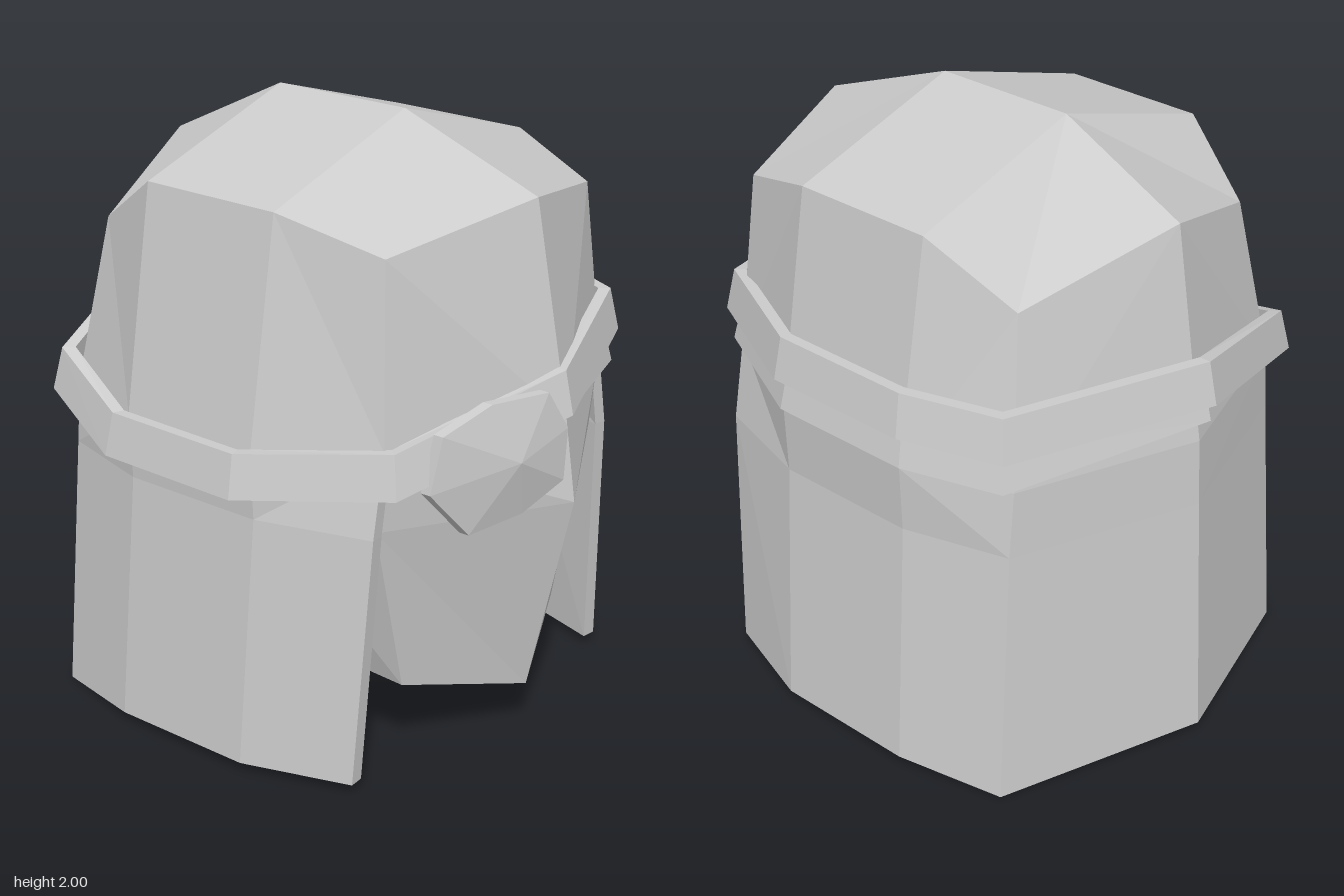
import * as THREE from 'three';

const mat = new THREE.MeshStandardMaterial({ color: 0xcccccc, flatShading: true, side: THREE.DoubleSide });

// Skin a list of point rows (bottom to top); flip swaps the quad diagonal, mirrored at mid row
function skin(name, rows, closed = true, flip = false) {
  const v = [];
  const tri = (a, b, c) => {
    const n = new THREE.Triangle(new THREE.Vector3(...a), new THREE.Vector3(...b), new THREE.Vector3(...c));
    if (n.getArea() > 1e-6) v.push(...a, ...b, ...c);
  };
  for (let i = 0; i < rows.length - 1; i++) {
    const n = rows[i].length, m = closed ? n : n - 1;
    for (let j = 0; j < m; j++) {
      const k = (j + 1) % n;
      const [a, b, c, d] = [rows[i][j], rows[i][k], rows[i + 1][k], rows[i + 1][j]];
      if ((j < m / 2) !== flip) { tri(a, b, c); tri(a, c, d); }
      else { tri(a, b, d); tri(b, c, d); }
    }
  }
  const g = new THREE.BufferGeometry();
  g.setAttribute('position', new THREE.Float32BufferAttribute(v, 3));
  g.computeVertexNormals();
  const mesh = new THREE.Mesh(g, mat);
  mesh.name = name;
  return mesh;
}

// Half ring (front centre, left side, back centre) mirrored to a full ring
const ring = (half) => [...half, ...half.slice(1, -1).reverse().map(([x, y, z]) => [-x, y, z])];

// Hollow strap: plan is the outer lower outline, low the bottom heights
function strap(name, plan, low, height, closed) {
  const row = (s, h) => plan.map(([x, z], i) => [x * s, low[i] + h, z * s]);
  const it = row(0.92, height);
  return skin(name, [it, row(0.93, 0), row(1, 0), row(0.965, height), it], closed);
}

export function createModel() {
  const model = new THREE.Group();
  const body = new THREE.Group();
  body.name = 'headAndHair';
  body.position.x = 0.01;
  model.add(body);

  // Ring where the crown meets the face and the hanging hair
  const brow = ring([[0, 1.13, 0.86], [0.57, 1.13, 0.6], [0.74, 1.08, 0.22],
    [0.74, 1.08, -0.29], [0.61, 1.08, -0.64], [0, 1.08, -0.85]]);

  // Crown with a short ridge on top
  const crown = ring([[0, 1.81, 0.73], [0.52, 1.71, 0.56], [0.62, 1.81, 0.22],
    [0.62, 1.81, -0.29], [0.52, 1.62, -0.57], [0, 1.78, -0.74]]);
  const ridge = crown.map(([, , z]) => [0, 2, z > 0 ? 0.22 : -0.29]);
  body.add(skin('crown', [brow, crown, ridge]));

  // Head with pointed face and jaw, closed underneath
  const jaw = ring([[0, 0.17, 0.74], [0.41, 0.27, 0.55], [0.47, 0.33, 0.2],
    [0.47, 0.4, -0.3], [0.42, 0.43, -0.55], [0, 0.4, -0.75]]);
  const cheek = ring([[0, 0.86, 0.9], [0.57, 0.86, 0.57], [0.67, 0.86, 0.22],
    [0.67, 0.86, -0.29], [0.55, 0.86, -0.6], [0, 0.86, -0.79]]);
  const under = jaw.map(() => [0, 0.31, -0.1]);
  const headTop = brow.map(([x, y, z], i) => (i < 2 || i === 9 ? [x, y, z] : [x * 0.93, y, z * 0.95]));
  body.add(skin('head', [under, jaw, cheek, headTop]));

  // Hanging hair: thick shell around the sides and back
  const arc = (half) => ring([[0, 0, 0], ...half]).slice(1);
  const outer = [
    arc([[0.67, 0.03, 0.56], [0.79, 0.03, 0.2], [0.79, 0.03, -0.31], [0.69, 0, -0.66], [0, 0.03, -0.9]]),
    arc([[0.62, 0.86, 0.6], [0.73, 0.86, 0.22], [0.73, 0.86, -0.29], [0.63, 0.86, -0.64], [0, 0.86, -0.86]]),
    brow.slice(1),
  ];
  const inner = outer.map((r) => r.map(([x, y, z]) => [x * 0.925, y, z > 0.4 ? z - 0.005 : z * 0.95]));
  body.add(skin('hair', [...inner.slice().reverse(), ...outer], false, true));
  const last = outer[0].length - 1;
  body.add(skin('hairEdgeLeft', outer.map((r, i) => [inner[i][0], r[0]]), false));
  body.add(skin('hairEdgeRight', outer.map((r, i) => [r[last], inner[i][last]]), false));

  // Slanted headband, low on the right side
  const plan = [[0, 0.89], [0.58, 0.67], [0.8, 0.2], [0.8, -0.33], [0.7, -0.67], [0, -0.9],
    [-0.69, -0.67], [-0.8, -0.33], [-0.81, 0.2], [-0.59, 0.67]];
  const low = [1.15, 1.22, 1.22, 1.22, 1.22, 1.22, 1.06, 0.95, 0.95, 1.0];
  model.add(strap('upperStrap', plan, low, 0.14, true));

  // Lower strap that forks off the band on the left side
  const fork = plan.slice(0, 6).map(([x, z]) => [x * 0.98, z * 0.98]);
  model.add(strap('lowerStrap', fork, [1.15, 1.11, 1.11, 1.11, 1.11, 1.16], 0.12, false));

  // Domed eye patch
  const outline = [[-0.36, 0.84], [-0.18, 0.87], [-0.04, 0.95], [-0.03, 1.12],
    [-0.1, 1.25], [-0.29, 1.25], [-0.45, 1.18], [-0.49, 1.0]];
  const patch = (dz) => outline.map(([x, y]) => [x, y, 0.89 + 0.38 * (x + 0.04) + dz]);
  const dome = outline.map(() => [-0.23, 1.06, 0.865]);
  model.add(skin('eyePatch', [dome.map(([x, y]) => [x, y, 0.78]), patch(-0.035), patch(0), dome]));

  return model;
}
